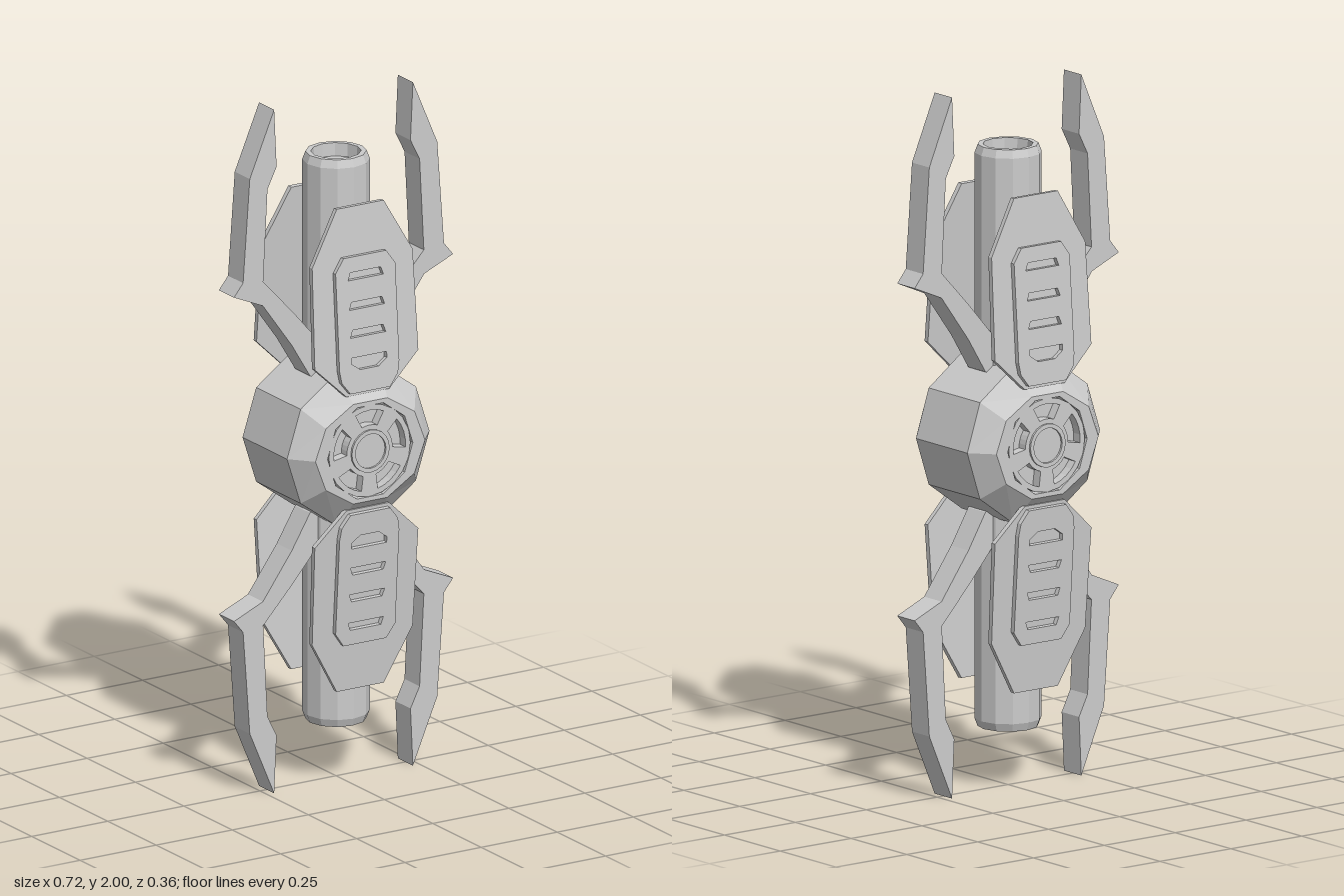
import * as THREE from 'three';

const grey = new THREE.MeshStandardMaterial({ color: 0xcccccc, flatShading: true });

function mesh(name, geometry) {
  const m = new THREE.Mesh(geometry, grey);
  m.name = name;
  return m;
}

const vecs = (pts) => pts.map(([x, y]) => new THREE.Vector2(x, y));

// Lathe of a half profile, mirrored to the other end
function doubleLathe(half, sides, start) {
  const bottom = half.map(([r, h]) => [r, -h]);
  const top = half.slice().reverse();
  return new THREE.LatheGeometry(vecs([...bottom, ...top]), sides, start);
}

// Outline given on the +x side, completed by mirroring
const mirrored = (pts) => [...pts, ...pts.slice().reverse().map(([x, y]) => [-x, y])];

function extrude(outline, depth, holes = []) {
  const shape = new THREE.Shape(vecs(outline));
  for (const h of holes) shape.holes.push(new THREE.Path(vecs(h)));
  return new THREE.ExtrudeGeometry(shape, { depth, bevelEnabled: false, curveSegments: 1 });
}

const arc = (r, a0, a1, n) => Array.from({ length: n + 1 }, (_, i) => {
  const a = a0 + (a1 - a0) * i / n;
  return [r * Math.cos(a), r * Math.sin(a)];
});
const ring = (r, n) => arc(r, 0, Math.PI * 2, n).slice(0, n);

// Ten-sided hub with bevelled faces and a recess for the dial
function hub() {
  const g = doubleLathe([[0, 0.145], [0.14, 0.145], [0.14, 0.177], [0.18, 0.177], [0.234, 0.115]], 10, Math.PI / 2);
  g.rotateX(Math.PI / 2);
  const p = g.attributes.position;
  for (let i = 0; i < p.count; i++) {
    // flatten the front and back rims where the armour overlaps them
    const r = Math.hypot(p.getX(i), p.getY(i));
    if (Math.abs(p.getZ(i)) > 0.12 && r > 0.16) p.setY(i, p.getY(i) * 0.85);
  }
  return mesh('hub', g);
}

// Dial with five windows between spokes and a raised centre ring
function dial() {
  const group = new THREE.Group();
  group.name = 'dial';
  const windows = [];
  for (let i = 0; i < 5; i++) {
    const a = Math.PI / 2 + i * Math.PI * 0.4;
    windows.push([...arc(0.118, a - 0.4, a + 0.4, 4), ...arc(0.075, a + 0.34, a - 0.34, 4)]);
  }
  const wheel = mesh('dialWheel', extrude(ring(0.134, 20), 0.03, windows));
  wheel.position.z = 0.144;
  const centre = mesh('dialCentreRing', extrude(ring(0.062, 20), 0.006, [ring(0.05, 20)]));
  centre.position.z = 0.174;
  group.add(wheel, centre);
  return group;
}

// Tilted armour plate with a slotted raised panel
function armour() {
  const group = new THREE.Group();
  group.name = 'armour';
  const plate = mesh('armourPlate', extrude(mirrored(
    [[0.07, 0], [0.17, 0.095], [0.165, 0.385], [0.077, 0.54]]), 0.015));
  const slots = [0.18, 0.26, 0.345].map((y) => [[-0.058, y - 0.011], [0.058, y - 0.011], [0.05, y + 0.011], [-0.05, y + 0.011]]);
  slots.push([[-0.03, 0.075], [0.03, 0.075], [0.058, 0.095], [0.058, 0.112], [-0.058, 0.112], [-0.058, 0.095]]);
  const panel = mesh('ventPanel', extrude(mirrored(
    [[0.065, 0.01], [0.092, 0.045], [0.098, 0.08], [0.098, 0.36], [0.07, 0.4]]), 0.014, slots));
  panel.position.z = 0.015;
  group.add(plate, panel);
  group.position.set(0, 0.165, 0.15);
  group.rotation.x = -0.074;
  return group;
}

// Bent claw reaching out from the hub, with a thin inset ridge
function claw() {
  const outline = [[0.04, 0.16], [0.11, 0.2], [0.17, 0.3], [0.265, 0.432], [0.36, 0.473], [0.33, 0.51],
    [0.308, 0.81], [0.228, 0.998], [0.22, 0.83], [0.25, 0.77], [0.264, 0.502], [0.165, 0.395], [0.04, 0.25]];
  const g = extrude(outline, 0.078);
  g.translate(0, 0, -0.039);
  return mesh('claw', g);
}

export function createModel() {
  const model = new THREE.Group();
  model.name = 'device';
  const body = new THREE.Group();
  body.name = 'body';
  body.position.y = 1;
  model.add(body);

  // Central shaft with recessed ends
  body.add(mesh('shaft', doubleLathe(
    [[0, 0.79], [0.068, 0.79], [0.07, 0.828], [0.085, 0.828], [0.094, 0.805]], 12, 0)));
  body.add(hub());

  // Upper half, repeated upside down
  for (const [name, turn] of [['upperHalf', 0], ['lowerHalf', Math.PI]]) {
    const half = new THREE.Group();
    half.name = name;
    half.rotation.z = turn;
    for (const side of [0, Math.PI]) {
      const face = new THREE.Group();
      face.name = side ? 'backSide' : 'frontSide';
      face.rotation.y = side;
      face.add(armour(), claw());
      half.add(face);
    }
    body.add(half);
  }

  // Dials on front and back
  for (const side of [0, Math.PI]) {
    const d = dial();
    d.rotation.y = side;
    body.add(d);
  }
  return model;
}
